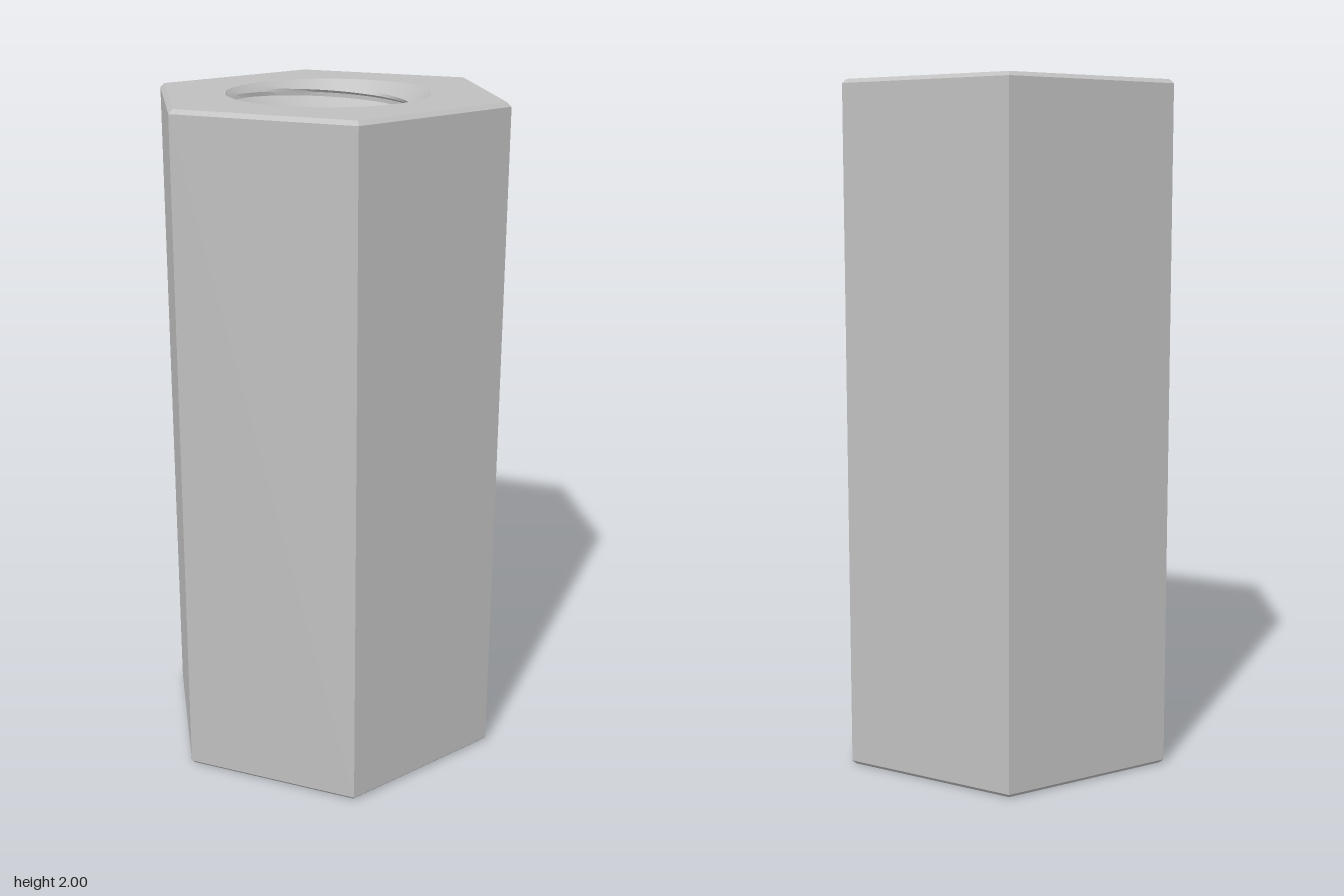
import * as THREE from 'three';
import { toCreasedNormals } from 'three/addons/utils/BufferGeometryUtils.js';

const HEIGHT = 2, APOTHEM = 0.464, CHAMFER = 0.012;
const MINOR = 0.217, MAJOR = 0.27, MOUTH = 0.293, PITCH = 0.1;
const SEGMENTS = 64;
const hexRadius = (apothem) => apothem / Math.cos(Math.PI / 6);

// Six-sided wall with a small chamfer at both ends
function hexWall() {
  const outer = hexRadius(APOTHEM), inner = hexRadius(APOTHEM - CHAMFER);
  const profile = [
    [inner, 0], [outer, CHAMFER], [outer, HEIGHT - CHAMFER], [inner, HEIGHT],
  ].map(([r, y]) => new THREE.Vector2(r, y));
  return toCreasedNormals(new THREE.LatheGeometry(profile, 6, Math.PI / 2), 0.3);
}

// Hexagonal end face with the round bore opening
function endFace() {
  const r = hexRadius(APOTHEM - CHAMFER);
  const shape = new THREE.Shape();
  for (let i = 0; i < 6; i++) {
    const a = i * Math.PI / 3;
    if (i) shape.lineTo(r * Math.cos(a), r * Math.sin(a));
    else shape.moveTo(r, 0);
  }
  shape.closePath();
  shape.holes.push(new THREE.Path().absarc(0, 0, MOUTH, 0, Math.PI * 2, true));
  return new THREE.ShapeGeometry(shape, SEGMENTS).rotateX(-Math.PI / 2);
}

// Bore: rows follow the helix; 45 degree countersinks cut into the thread
function threadedBore() {
  const phases = [-0.0375, -0.0295, -0.0215, -0.0135, -0.006, 0.006, 0.0135, 0.0215, 0.0295, 0.0375, 0.046, 0.054];
  const threadRadius = (u) => {
    const d = Math.abs(u > PITCH / 2 ? u - PITCH : u);
    const t = THREE.MathUtils.clamp((d - 0.006) / 0.0315, 0, 1);
    return MAJOR + (MINOR - MAJOR) * t;
  };
  const rows = [];
  for (let k = -2; k <= HEIGHT / PITCH + 1; k++) {
    for (const u of phases) {
      const row = [];
      for (let j = 0; j <= SEGMENTS; j++) {
        const a = (j / SEGMENTS) * Math.PI * 2;
        const y = THREE.MathUtils.clamp(k * PITCH + u + PITCH * j / SEGMENTS, 0, HEIGHT);
        const cone = MOUTH - Math.min(y, HEIGHT - y);
        const r = Math.max(threadRadius(u), cone);
        row.push(new THREE.Vector3(r * Math.sin(a), y, r * Math.cos(a)));
      }
      rows.push(row);
    }
  }
  const positions = [];
  const triangle = (a, b, c) => {
    const area = b.clone().sub(a).cross(c.clone().sub(a)).length();
    if (area > 1e-9) for (const p of [a, b, c]) positions.push(p.x, p.y, p.z);
  };
  for (let i = 0; i < rows.length - 1; i++) {
    for (let j = 0; j < SEGMENTS; j++) {
      const a = rows[i][j], b = rows[i][j + 1], c = rows[i + 1][j + 1], d = rows[i + 1][j];
      triangle(a, c, b);
      triangle(a, d, c);
    }
  }
  const geometry = new THREE.BufferGeometry();
  geometry.setAttribute('position', new THREE.Float32BufferAttribute(positions, 3));
  return toCreasedNormals(geometry, 0.4);
}

export function createModel() {
  const steel = new THREE.MeshStandardMaterial({ color: 0xbfbfbf });
  steel.name = 'steel grey';
  const group = new THREE.Group();
  group.name = 'hexStandoff';
  const add = (name, geometry) => {
    const mesh = new THREE.Mesh(geometry, steel);
    mesh.name = name;
    group.add(mesh);
    return mesh;
  };
  add('hexBody', hexWall());
  add('topFace', endFace()).position.y = HEIGHT;
  add('bottomFace', endFace().rotateX(Math.PI));
  add('threadedBore', threadedBore());
  return group;
}
